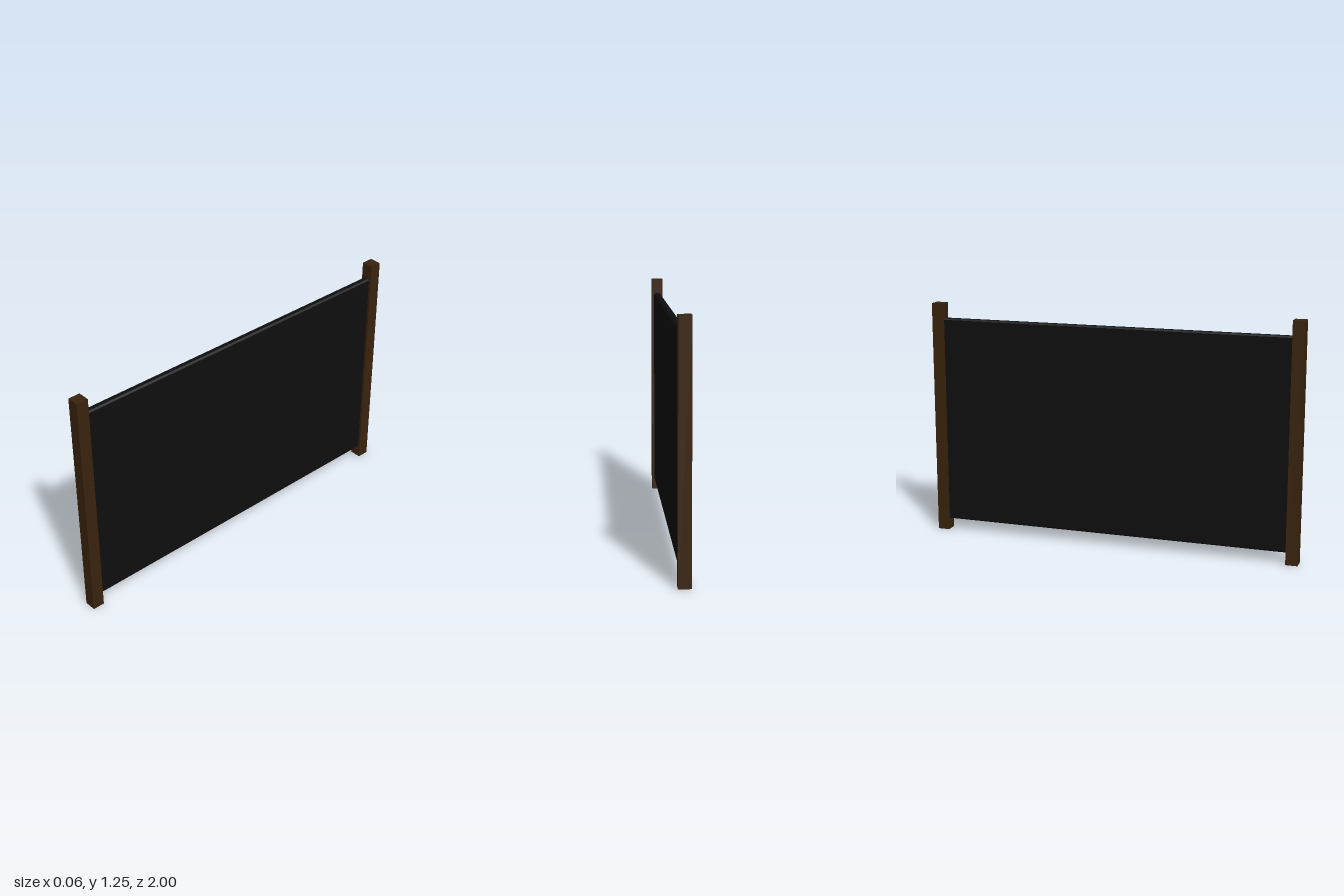
import * as THREE from 'three';

const HEIGHT = 1.25, POST = 0.063;
const PANEL = { width: 0.038, bottom: 0.06, top: 1.17, bevel: 0.008 };

// Upright sheet with slightly chamfered long edges, running along z
function panelGeometry(length) {
  const { width, bottom, top, bevel: b } = PANEL;
  const w = width / 2;
  const section = new THREE.Shape([
    [-w + b, bottom], [w - b, bottom], [w, bottom + b], [w, top - b],
    [w - b, top], [-w + b, top], [-w, top - b], [-w, bottom + b],
  ].map(([x, y]) => new THREE.Vector2(x, y)));
  return new THREE.ExtrudeGeometry(section, { depth: length, bevelEnabled: false })
    .translate(0, 0, -length / 2);
}

export function createModel() {
  const model = new THREE.Group();
  model.name = 'fencePanel';

  const wood = new THREE.MeshStandardMaterial({ color: 0x3a230d });
  wood.name = 'darkWood';
  const black = new THREE.MeshStandardMaterial({ color: 0x0e0e0e });
  black.name = 'black';

  // Square posts at both ends
  for (const [name, side] of [['frontPost', 1], ['backPost', -1]]) {
    const post = new THREE.Mesh(new THREE.BoxGeometry(POST, HEIGHT, POST), wood);
    post.name = name;
    post.position.set(0, HEIGHT / 2, side * (1 - POST / 2));
    model.add(post);
  }

  // Panel spanning between the posts
  const panel = new THREE.Mesh(panelGeometry(2 - 2 * POST), black);
  panel.name = 'panel';
  model.add(panel);

  return model;
}
